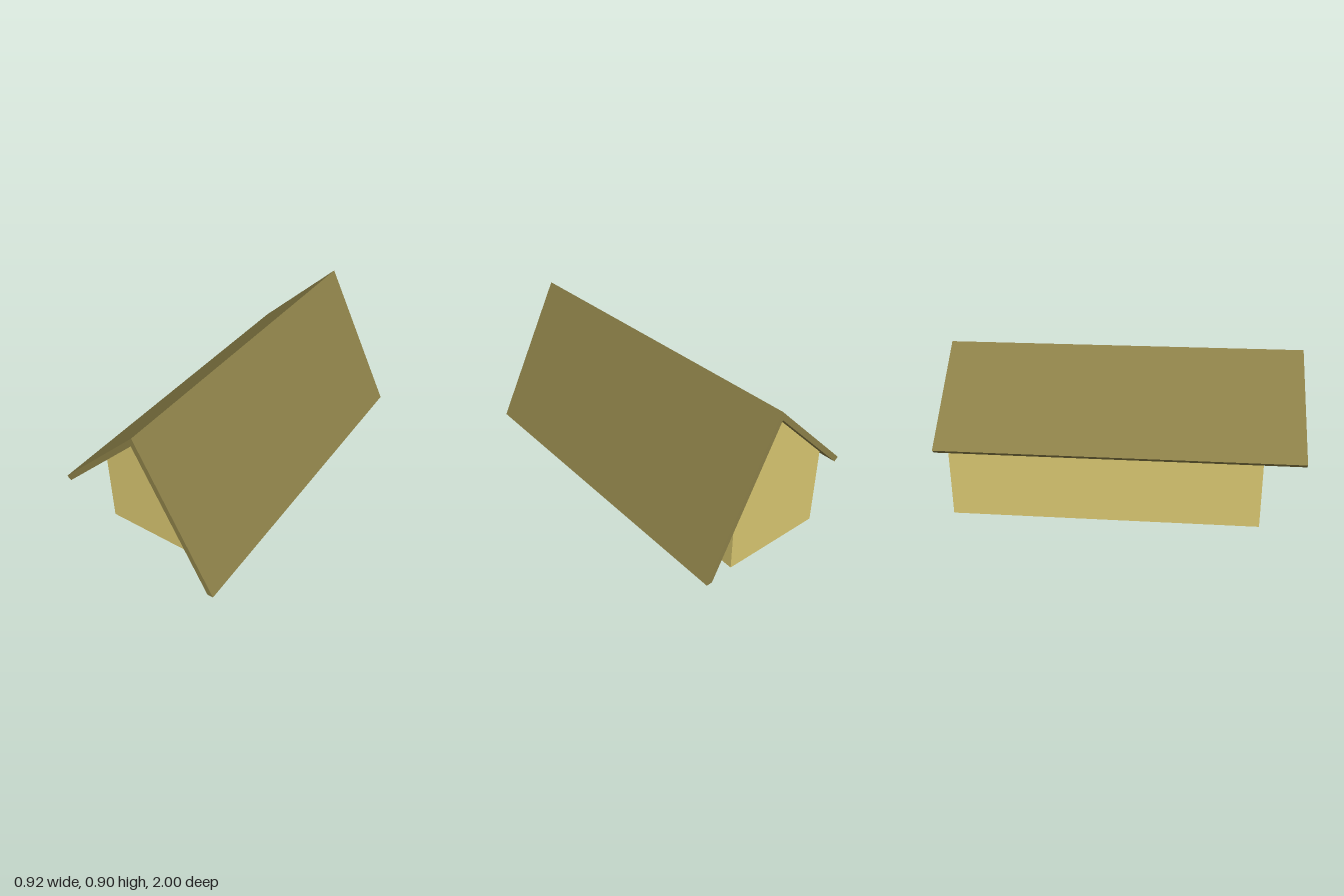
import * as THREE from 'three';

const FRONT = 0.785, BACK = -0.94;   // faces of the gable walls
const LEFT = 0.233, RIGHT = -0.378;  // faces of the side walls
const T = 0.012, T_LEFT = 0.035;     // wall thicknesses

const wallMat = new THREE.MeshStandardMaterial({ color: 0xd8c670, flatShading: true });
const roofMat = new THREE.MeshStandardMaterial({ color: 0x8c8048, flatShading: true });
const floorMat = new THREE.MeshStandardMaterial({ color: 0x8c8c8c, flatShading: true });

// Extrudes an x-y profile from z0 to z1.
function prism(name, points, z0, z1, material) {
  const shape = new THREE.Shape(points.map(([x, y]) => new THREE.Vector2(x, y)));
  const geometry = new THREE.ExtrudeGeometry(shape, { depth: z1 - z0, bevelEnabled: false });
  geometry.translate(0, 0, z0);
  const mesh = new THREE.Mesh(geometry, material);
  mesh.name = name;
  return mesh;
}

export function createModel() {
  const house = new THREE.Group();
  house.name = 'house';

  // Underside of the roof, from eave to ridge to eave
  const ridge = [0.023, 0.848], ridgeTop = [0.031, 0.898];
  const eaveRight = [-0.438, 0.402], eaveLeft = [0.423, 0.062];
  const under = (x) => {
    const [ex, ey] = x < ridge[0] ? eaveRight : eaveLeft;
    return ey + (ridge[1] - ey) * (x - ex) / (ridge[0] - ex);
  };

  // Gable walls
  const gable = [[RIGHT, 0], [LEFT, 0], [LEFT, under(LEFT)], ridge, [RIGHT, under(RIGHT)]];
  house.add(prism('frontWall', gable, FRONT - T, FRONT, wallMat));
  house.add(prism('backWall', gable, BACK, BACK + T, wallMat));

  // Side walls, cut to the roof slope
  const sideWall = (name, x0, x1) => house.add(prism(name,
    [[x0, 0], [x1, 0], [x1, under(x1)], [x0, under(x0)]], BACK + T, FRONT - T, wallMat));
  sideWall('leftWall', LEFT - T_LEFT, LEFT);
  sideWall('rightWall', RIGHT, RIGHT + T);

  // Floor slab between the walls
  const x0 = RIGHT + T, x1 = LEFT - T_LEFT;
  house.add(prism('floor', [[x0, 0], [x1, 0], [x1, 0.02], [x0, 0.02]], BACK + T, FRONT - T, floorMat));

  // Roof panels: short on the right, long on the left
  house.add(prism('rightRoofPanel', [eaveRight, ridge, ridgeTop, [-0.46, 0.423]], -1, 1, roofMat));
  house.add(prism('leftRoofPanel', [eaveLeft, [0.457, 0.062], ridgeTop, ridge], -1, 1, roofMat));

  return house;
}
